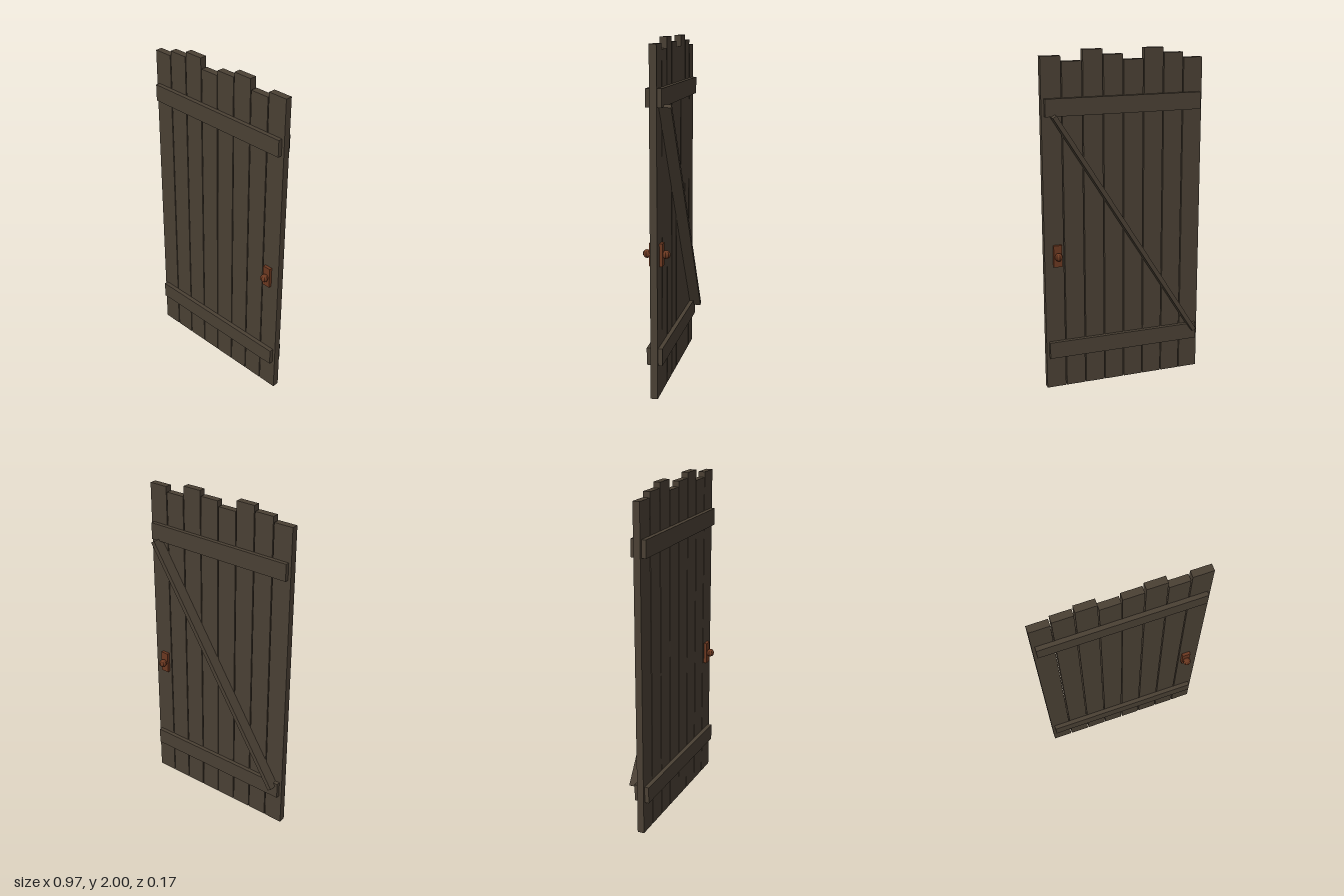
import * as THREE from 'three';

export function createModel() {
  const door = new THREE.Group();
  door.name = 'plankDoor';
  const wood = new THREE.MeshStandardMaterial({ color: 0x4a4034 });
  wood.name = 'darkWood';
  const rust = new THREE.MeshStandardMaterial({ color: 0x6b3820, flatShading: true });
  rust.name = 'rustyMetal';

  // box given by its minimum and maximum corners
  function box(name, material, [x0, y0, z0], [x1, y1, z1]) {
    const mesh = new THREE.Mesh(new THREE.BoxGeometry(x1 - x0, y1 - y0, z1 - z0), material);
    mesh.position.set((x0 + x1) / 2, (y0 + y1) / 2, (z0 + z1) / 2);
    mesh.name = name;
    door.add(mesh);
    return mesh;
  }

  const back = -0.016, front = 0.0245; // plank faces

  // eight upright planks with uneven tops
  const tops = [1.938, 1.969, 2];
  const pitch = 0.1224, half = 0.058;
  for (let i = 0; i < 8; i++) {
    const x = (i - 3.5) * pitch;
    box('plank' + (i + 1), wood, [x - half, 0, back], [x + half, tops[i % 3], front]);
  }

  // horizontal rails on both faces
  for (const [place, y0, y1] of [['lower', 0.195, 0.295], ['upper', 1.638, 1.738]]) {
    box(place + 'FrontRail', wood, [-0.47, y0, front], [0.47, y1, 0.05]);
    box(place + 'BackRail', wood, [-0.47, y0, -0.04], [0.47, y1, 0.003]);
  }

  // diagonal brace on the back
  const brace = box('diagonalBrace', wood, [-0.822, 0.942, -0.083], [0.806, 0.968, 0.003]);
  brace.rotation.z = Math.atan2(1.376, 0.871);

  // latch plates and knobs on both faces
  const knobX = 0.411, knobY = 0.825;
  box('frontLatchPlate', rust, [0.386, 0.76, front], [0.436, 0.89, 0.043]);
  box('backLatchPlate', rust, [0.386, 0.76, -0.034], [0.436, 0.89, back]);
  for (const [name, z] of [['frontKnob', 0.059], ['backKnob', -0.05]]) {
    const knob = new THREE.Mesh(new THREE.SphereGeometry(0.024, 8, 8), rust);
    knob.position.set(knobX, knobY, z);
    knob.name = name;
    door.add(knob);
  }
  return door;
}
